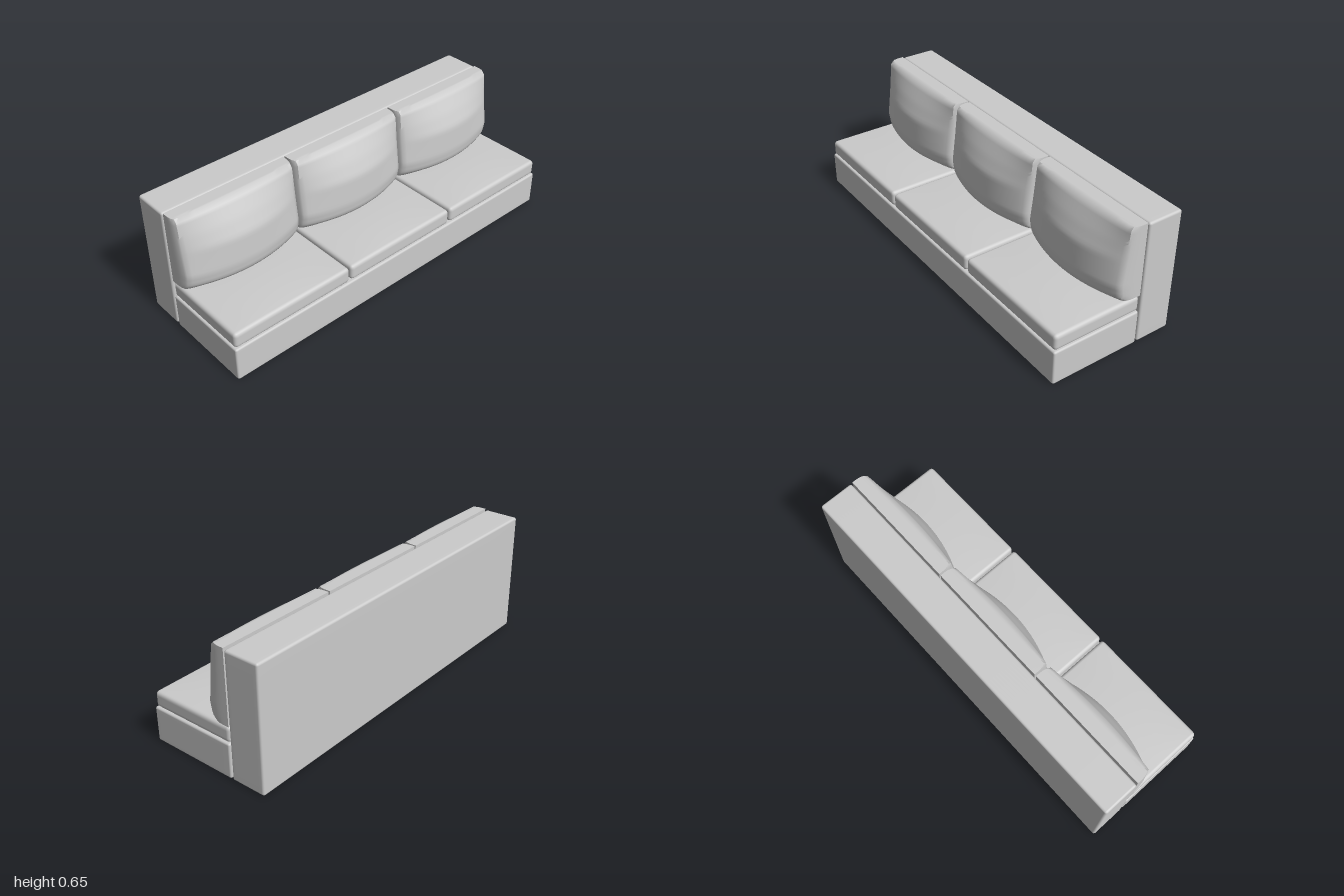
import * as THREE from 'three';
import { mergeVertices, toCreasedNormals } from 'three/addons/utils/BufferGeometryUtils.js';

const material = new THREE.MeshStandardMaterial({ color: 0xcccccc });

// Weld a gridded box, move every vertex by a rule, and recompute normals
function shapedBox(segments, rule) {
  let geo = new THREE.BoxGeometry(2, 2, 2, ...segments);
  geo.deleteAttribute('uv');
  geo.deleteAttribute('normal');
  geo = mergeVertices(geo);
  const pos = geo.attributes.position;
  const p = new THREE.Vector3();
  for (let i = 0; i < pos.count; i++) {
    rule(p.fromBufferAttribute(pos, i));
    pos.setXYZ(i, p.x, p.y, p.z);
  }
  geo.computeVertexNormals();
  return geo;
}

// Box with rounded edges, and a top that swells by crown
function softBox(w, h, d, r, crown = 0) {
  const n = 16, k = 3;
  const half = new THREE.Vector3(w / 2, h / 2, d / 2);
  const core = half.clone().subScalar(r);
  const low = core.clone().negate();
  const spread = (s, size) => {
    const edge = Math.round((1 - Math.abs(s)) * n / 2);
    const a = edge <= k
      ? size - r * edge / k
      : (size - r) * (1 - (edge - k) / (n / 2 - k));
    return Math.sign(s) * a;
  };
  return shapedBox([n, n, n], (p) => {
    p.set(spread(p.x, half.x), spread(p.y, half.y), spread(p.z, half.z));
    const inner = p.clone().clamp(low, core);
    p.sub(inner).setLength(r).add(inner);
    if (p.y > 0) {
      const u = p.x / half.x, v = p.z / half.z;
      p.y += crown * (1 - u * u) * (1 - v * v) * p.y / half.y;
    }
  });
}

// Linear lookup in a list of [y, z] points
function lookup(points, y) {
  for (let i = 1; i < points.length; i++) {
    const [y0, z0] = points[i - 1], [y1, z1] = points[i];
    if (y <= y1) return z0 + (z1 - z0) * Math.max(0, (y - y0) / (y1 - y0));
  }
  return points[points.length - 1][1];
}

// Front outline of a back cushion through its middle and along its sides
const MIDDLE = [[0.268, 0.0], [0.29, 0.033], [0.35, 0.04], [0.485, 0.033], [0.56, 0.0], [0.636, -0.042], [0.652, -0.068]];
const SIDE = [[0.268, -0.055], [0.29, -0.035], [0.35, -0.025], [0.485, -0.042], [0.636, -0.058], [0.652, -0.072]];

// Flat-backed cushion whose front bulges forward
function backCushion(width) {
  const back = -0.14, bottom = 0.268, top = 0.652;
  const geo = shapedBox([24, 24, 8], (p) => {
    const u = p.x, t = (p.z + 1) / 2;
    const y = bottom + (top - bottom) * (p.y + 1) / 2;
    const front = THREE.MathUtils.lerp(lookup(SIDE, y), lookup(MIDDLE, y), 1 - u * u);
    const inset = 0.012 * t ** 4 * Math.abs(u) ** 12;
    const sag = 0.008 * (1 - u * u) * t * (1 - p.y) / 2;
    p.set(u * width / 2 - Math.sign(u) * inset, y - sag, back + (front - back) * t);
  });
  return toCreasedNormals(geo, 0.8);
}

export function createModel() {
  const model = new THREE.Group();
  model.name = 'sofa';
  const add = (name, geometry, x = 0, y = 0, z = 0) => {
    const mesh = new THREE.Mesh(geometry, material);
    mesh.name = name;
    mesh.position.set(x, y, z);
    model.add(mesh);
  };

  // Plinth and upright back
  add('base', softBox(2, 0.181, 0.475, 0.01), 0, 0.0905, 0.0975);
  add('backrest', softBox(2, 0.648, 0.188, 0.012), 0, 0.324, -0.241);

  // Three seat and back cushions
  const seat = softBox(0.657, 0.082, 0.47, 0.018, 0.01);
  const cushion = backCushion(0.657);
  ['right', 'middle', 'left'].forEach((side, i) => {
    const x = (i - 1) * 0.667;
    add(side + 'SeatCushion', seat, x, 0.223, 0.095);
    add(side + 'BackCushion', cushion, x);
  });
  return model;
}
